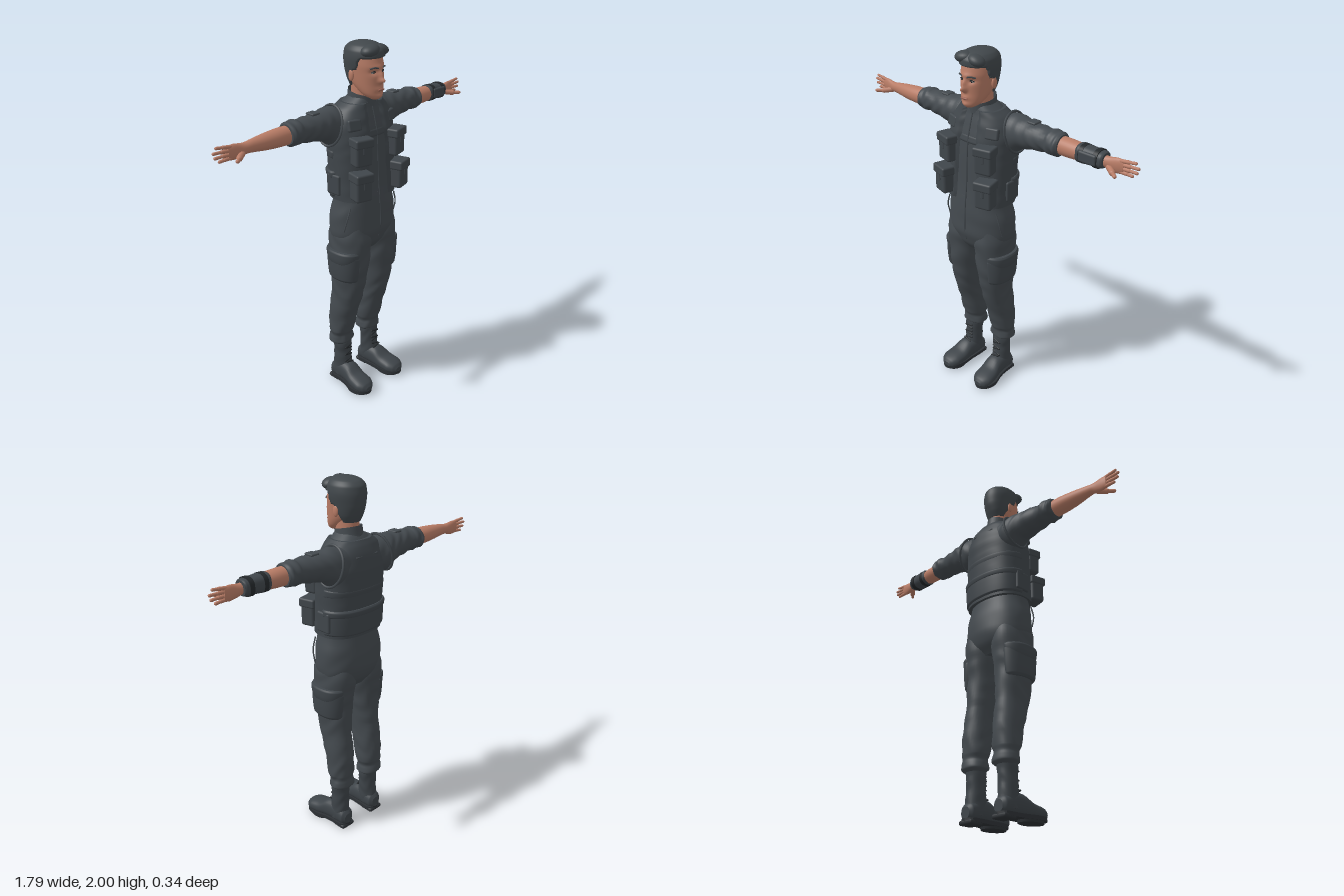
import * as THREE from 'three';
import { mergeVertices } from 'three/addons/utils/BufferGeometryUtils.js';
import { RoundedBoxGeometry } from 'three/addons/geometries/RoundedBoxGeometry.js';

const mat = (name, color) => Object.assign(new THREE.MeshStandardMaterial({ color }), { name });
const { smoothstep } = THREE.MathUtils;
const AXES = { y: [1, 0, 2], x: [0, 2, 1], z: [2, 1, 0] };

// Monotone cubic through key rows [t, a, b, ra, rb]
function resample(keys, steps) {
  const sec = (i, c) => (keys[i + 1][c] - keys[i][c]) / (keys[i + 1][0] - keys[i][0]);
  const slope = (i, c) => {
    if (i === 0) return sec(0, c);
    if (i === keys.length - 1) return sec(i - 1, c);
    const a = sec(i - 1, c), b = sec(i, c);
    return a * b <= 0 ? 0 : (2 * a * b) / (a + b);
  };
  const rows = [keys[0]];
  for (let i = 0; i < keys.length - 1; i++) for (let s = 1; s <= steps; s++) {
    const f = s / steps, h = keys[i + 1][0] - keys[i][0];
    rows.push(keys[i].map((k, c) => c === 0 ? k + h * f :
      (1 + 2 * f) * (1 - f) ** 2 * k + f * (1 - f) ** 2 * h * slope(i, c) +
      f * f * (3 - 2 * f) * keys[i + 1][c] + f * f * (f - 1) * h * slope(i + 1, c)));
  }
  return rows;
}

// Skin over rounded cross-sections; w adds cloth folds, warp moves each vertex
function loft(axis, keys, { n = 32, p = 2, steps = 5, w = 0, freq = 75, warp, cap = true } = {}) {
  const [T, U, V] = AXES[axis], pos = [], idx = [], rows = resample(keys, steps);
  const pw = (x) => Math.sign(x) * Math.abs(x) ** (2 / p);
  for (const [t, a, b, ra, rb] of rows) for (let j = 0; j < n; j++) {
    const th = (j / n) * Math.PI * 2, v = new THREE.Vector3(), c = new THREE.Vector3();
    const fold = w * Math.sin(t * freq + 2.2 * Math.sin(th * 2 + 1) + Math.sin(th * 3 + t * 20));
    c.setComponent(T, t).setComponent(U, a).setComponent(V, b);
    v.setComponent(T, t).setComponent(U, a + (ra + fold) * pw(Math.cos(th)))
      .setComponent(V, b + (rb + fold) * pw(Math.sin(th)));
    if (warp) warp(v, c);
    pos.push(v.x, v.y, v.z);
  }
  const R = rows.length;
  for (let i = 0; i < R - 1; i++) for (let j = 0; j < n; j++) {
    const a = i * n + j, b = i * n + (j + 1) % n;
    idx.push(a, a + n, b, b, a + n, b + n);
  }
  if (cap) for (const r of [0, R - 1]) {
    const base = pos.length / 3, m = new THREE.Vector3();
    for (let j = 0; j < n; j++) {
      const q = pos.slice((r * n + j) * 3, (r * n + j) * 3 + 3);
      pos.push(...q);
      m.add(new THREE.Vector3(...q).divideScalar(n));
    }
    pos.push(m.x, m.y, m.z);
    for (let j = 0; j < n; j++) {
      const a = base + j, b = base + (j + 1) % n;
      idx.push(...(r ? [a, base + n, b] : [a, b, base + n]));
    }
  }
  const g = new THREE.BufferGeometry();
  g.setAttribute('position', new THREE.Float32BufferAttribute(pos, 3));
  g.setIndex(idx);
  g.computeVertexNormals();
  return g;
}

const grow = (keys, d) => keys.map(([t, a, b, ra, rb]) => [t, a, b, ra + d, rb + d]);
const tuck = (amount, k = 0.85) => (v, c) => {
  const s = 1 - (1 - k) * amount(v, c);
  v.set(c.x + (v.x - c.x) * s, v.y, c.z + (v.z - c.z) * s);
};
const box = (w, h, d, x, y, z, ry = 0, rx = 0, r = 0.01) =>
  new RoundedBoxGeometry(w, h, d, 2, Math.min(r, w / 2.1, h / 2.1, d / 2.1)).rotateX(rx).rotateY(ry).translate(x, y, z);
const ball = (rx, ry, rz, x, y, z, rot = 0) =>
  new THREE.SphereGeometry(1, 24, 16).scale(rx, ry, rz).rotateZ(rot).translate(x, y, z);
const tube = (pts, r, closed = false) => new THREE.TubeGeometry(
  new THREE.CatmullRomCurve3(pts.map((q) => new THREE.Vector3(...q)), closed), 40, r, 6, closed);
function rod(a, b, r) {
  const A = new THREE.Vector3(...a), d = new THREE.Vector3(...b).sub(A), L = d.length();
  return new THREE.CapsuleGeometry(r, L, 4, 10).translate(0, L / 2, 0)
    .applyQuaternion(new THREE.Quaternion().setFromUnitVectors(new THREE.Vector3(0, 1, 0), d.divideScalar(L)))
    .translate(...a);
}
function flip(geo) {
  const g = (geo.index ? geo.clone() : mergeVertices(geo)).scale(-1, 1, 1), i = g.index.array;
  for (let k = 0; k < i.length; k += 3) [i[k], i[k + 1]] = [i[k + 1], i[k]];
  const nr = g.attributes.normal;
  if (nr.getX(0) * geo.attributes.normal.getX(0) > 0) for (let k = 0; k < nr.count; k++) nr.setX(k, -nr.getX(k));
  return g;
}

export function createModel() {
  const root = new THREE.Group();
  root.name = 'figure';
  const cloth = mat('cloth', 0x444a4f), gear = mat('gear', 0x40464b), hair = mat('hair', 0x41474b),
    skin = mat('skin', 0xb87c66), boot = mat('boot', 0x3e4449), sole = mat('sole', 0x2e3236),
    lip = mat('lip', 0x9a6253), eye = mat('eye', 0xa8a09a), dark = mat('dark', 0x24282b);
  const collarCloth = mat('collarCloth', 0x444a4f);
  collarCloth.side = THREE.DoubleSide;
  const add = (name, g, m) => root.add(Object.assign(new THREE.Mesh(g, m), { name }));
  const both = (name, g, m) => { add(name + 'Left', g, m); add(name + 'Right', flip(g), m); };

  // Head: skull with brow, sockets, nose, mouth and chin raised by soft bumps
  const bumps = [[0, 1.818, 0.03, 0.013, 0.013], [0, 1.845, 0.016, 0.011, 0.022], [0.033, 1.86, -0.011, 0.018, 0.012],
    [-0.033, 1.86, -0.011, 0.018, 0.012], [0, 1.885, 0.005, 0.045, 0.01], [0, 1.775, 0.006, 0.025, 0.012], [0, 1.74, 0.006, 0.02, 0.012]];
  const face = (v) => {
    if (v.z < 0.03) return;
    let dz = 0;
    for (const [x, y, h, sx, sy] of bumps) dz += h * Math.exp(-(((v.x - x) / sx) ** 2) - ((v.y - y) / sy) ** 2);
    v.z += dz;
  };
  add('head', loft('y', [[1.722, 0, 0.075, 0.022, 0.02], [1.735, 0, 0.063, 0.044, 0.043], [1.76, 0, 0.044, 0.061, 0.064],
    [1.8, 0, 0.02, 0.073, 0.088], [1.85, 0, 0.005, 0.08, 0.104], [1.89, 0, 0, 0.083, 0.106], [1.93, 0, -0.005, 0.081, 0.102],
    [1.965, 0, -0.005, 0.068, 0.083], [1.985, 0, -0.005, 0.04, 0.05]], { n: 96, steps: 7, warp: face }), skin);
  add('neck', loft('y', [[1.62, 0, -0.02, 0.062, 0.068], [1.7, 0, -0.012, 0.056, 0.064], [1.8, 0, -0.01, 0.056, 0.066]]), skin);
  both('ear', ball(0.009, 0.029, 0.017, 0.083, 1.838, -0.012), skin);
  both('eye', ball(0.013, 0.0055, 0.007, 0.033, 1.858, 0.0885), eye);
  both('iris', ball(0.0055, 0.0055, 0.004, 0.032, 1.858, 0.0935), dark);
  both('eyelid', tube([[0.019, 1.857, 0.096], [0.031, 1.865, 0.096], [0.047, 1.858, 0.088]], 0.0025), dark);
  both('brow', tube([[0.015, 1.879, 0.109], [0.033, 1.884, 0.104], [0.055, 1.878, 0.088]], 0.004), hair);
  add('lips', ball(0.024, 0.006, 0.006, 0, 1.772, 0.114), lip);

  // Hair: shell tucked under the skin below the hairline
  const hairline = (z) => z > 0.045 ? 1.925 : z > 0.0 ? 1.865 + (z > 0.025 ? (z - 0.025) * 3 : 0) : z > -0.035 ? 1.865 + z * 2.2 : 1.775;
  add('hair', loft('y', [[1.78, 0, -0.03, 0.056, 0.05], [1.82, 0, -0.015, 0.077, 0.083], [1.87, 0, -0.004, 0.088, 0.108],
    [1.92, 0, -0.002, 0.094, 0.113], [1.955, 0, 0, 0.09, 0.11], [1.98, 0, 0, 0.074, 0.09], [1.995, 0, 0, 0.045, 0.055],
    [2, 0, 0, 0.02, 0.025]], { n: 80, steps: 7, warp: tuck((v) => 1 - smoothstep(v.y, hairline(v.z) - 0.006, hairline(v.z) + 0.006), 0.78) }), hair);
  add('quiffRight', ball(0.052, 0.029, 0.043, -0.036, 1.964, 0.072, 0.15), hair);
  add('quiffLeft', ball(0.046, 0.027, 0.04, 0.042, 1.96, 0.068, -0.3), hair);

  // Overalls: torso, hips, legs, sleeves
  const torso = [[1.2, 0, -0.013, 0.177, 0.124], [1.3, 0, -0.02, 0.178, 0.122], [1.45, 0, -0.026, 0.18, 0.122], [1.55, 0, -0.032, 0.18, 0.12],
    [1.62, 0, -0.036, 0.168, 0.108], [1.67, 0, -0.034, 0.138, 0.092], [1.7, 0, -0.028, 0.1, 0.08], [1.73, 0, -0.02, 0.06, 0.064]];
  add('torso', loft('y', torso, { n: 48, p: 2.4 }), cloth);
  add('hips', loft('y', [[0.89, 0, -0.02, 0.12, 0.08], [0.95, 0, -0.02, 0.185, 0.122], [1.02, 0, -0.018, 0.202, 0.137],
    [1.1, 0, -0.017, 0.198, 0.135], [1.18, 0, -0.012, 0.182, 0.125], [1.23, 0, -0.012, 0.175, 0.12]], { n: 48, p: 2.2, w: 0.0012, freq: 40 }), cloth);
  both('leg', loft('y', [[0.268, 0.11, -0.08, 0.058, 0.05], [0.285, 0.11, -0.08, 0.075, 0.063], [0.31, 0.11, -0.08, 0.072, 0.06],
    [0.33, 0.11, -0.079, 0.067, 0.058], [0.36, 0.11, -0.075, 0.074, 0.068], [0.45, 0.11, -0.065, 0.074, 0.079], [0.6, 0.108, -0.033, 0.073, 0.097],
    [0.7, 0.106, -0.02, 0.082, 0.105], [0.8, 0.103, -0.012, 0.09, 0.113], [0.88, 0.1, -0.015, 0.098, 0.12],
    [0.97, 0.098, -0.015, 0.099, 0.126], [1.06, 0.09, -0.015, 0.09, 0.11]], { n: 40, p: 2.15, w: 0.0022, freq: 50 }), cloth);
  both('sleeve', loft('x', [[0.1, -0.07, 1.59, 0.075, 0.085], [0.18, -0.073, 1.588, 0.083, 0.1], [0.25, -0.07, 1.604, 0.076, 0.077],
    [0.33, -0.066, 1.608, 0.068, 0.067], [0.4, -0.066, 1.612, 0.062, 0.06], [0.42, -0.066, 1.612, 0.067, 0.063],
    [0.445, -0.066, 1.612, 0.063, 0.06], [0.46, -0.066, 1.612, 0.067, 0.061], [0.477, -0.066, 1.612, 0.055, 0.053]], { n: 36, w: 0.0025, freq: 80 }), cloth);
  both('sleeveTab', box(0.05, 0.012, 0.055, 0.295, 1.678, -0.068), cloth);
  add('zip', tube([[0, 0.97, 0.108], [0, 1.05, 0.12], [0, 1.1, 0.119], [0, 1.2, 0.113], [0, 1.3, 0.103], [0, 1.45, 0.097],
    [0, 1.55, 0.089], [0, 1.62, 0.073], [0, 1.68, 0.056]], 0.004), gear);
  both('hipPocketSeam', tube([[0.168, 1.17, 0.06], [0.19, 1.1, 0.055], [0.195, 1.03, 0.035]], 0.004), cloth);
  add('collar', loft('y', [[1.665, 0, -0.022, 0.08, 0.085], [1.7, 0, -0.02, 0.071, 0.077], [1.745, 0, -0.018, 0.067, 0.074]],
    { cap: false, warp: (v) => { v.y -= v.z * 0.22 + (v.z > 0.03 ? 0.5 * Math.max(0, 0.04 - Math.abs(v.x)) : 0); } }), collarCloth);

  // Vest: shell open down the front, arm rims, back bands
  const opening = (v) => v.z > 0 ? 1 - smoothstep(Math.abs(v.x), 0.05 + (1.65 - v.y) * 0.07, 0.06 + (1.65 - v.y) * 0.07) : 0;
  add('vest', loft('y', grow(torso.slice(0, 7), 0.014), { n: 96, p: 2.4, w: 0.001, warp: tuck(opening) }), gear);
  const ring = Array.from({ length: 12 }, (_, i) => {
    const a = (i / 12) * Math.PI * 2;
    return [0.178 - 0.025 * Math.sin(a), 1.59 + 0.102 * Math.sin(a), -0.073 + 0.088 * Math.cos(a)];
  });
  both('armhole', tube(ring, 0.007, true), gear);
  const behind = (v) => smoothstep(v.z, -0.03, -0.01);
  for (const [y0, y1, d] of [[1.215, 1.345, 0.021], [1.315, 1.355, 0.027], [1.42, 1.465, 0.02], [1.53, 1.57, 0.019]])
    add('backBand', loft('y', [[y0, 0, -0.018, 0.178 + d - 0.006, 0.122 + d - 0.006], [y0 + 0.01, 0, -0.019, 0.178 + d, 0.122 + d],
      [y1 - 0.01, 0, -0.023, 0.178 + d, 0.121 + d], [y1, 0, -0.023, 0.178 + d - 0.006, 0.12 + d - 0.006]],
    { n: 64, p: 2.4, steps: 3, warp: tuck(behind, 0.8) }), gear);
  for (const y of [1.6, 1.625]) add('backLoop', box(0.15, 0.009, 0.014, 0, y, -0.149), gear);

  // Front pouches with flaps and side pouches
  for (const [x, y, z, w, h, d] of [[0.128, 1.475, 0.1, 0.098, 0.14, 0.07], [0.143, 1.295, 0.112, 0.095, 0.145, 0.08]]) {
    both('pouch', box(w, h, d, x, y, z, 0.25, 0, 0.014), gear);
    both('pouchFlap', box(w + 0.01, h * 0.34, d + 0.014, x, y + h * 0.38, z + 0.002, 0.25, 0, 0.01), gear);
    both('pouchStrap', box(0.018, h * 0.3, 0.008, x + 0.01, y + h * 0.12, z + d / 2 - 0.001, 0.25), gear);
  }
  both('chestPocket', box(0.075, 0.06, 0.03, 0.132, 1.605, 0.055, 0.3, -0.25), gear);
  both('sidePouch', box(0.028, 0.11, 0.09, 0.188, 1.285, -0.035), gear);

  // Thigh pockets wrapped on the outside of the legs
  const inside = (v, c) => 1 - smoothstep(v.x - c.x, 0.025, 0.04);
  for (const [name, y0, y1, d] of [['cargoPocket', 0.725, 0.88, 0.017], ['cargoFlap', 0.825, 0.905, 0.024]])
    both(name, loft('y', [[y0, 0.105, -0.016, 0.085 + d - 0.008, 0.1], [y0 + 0.015, 0.105, -0.015, 0.086 + d, 0.107],
      [y1 - 0.012, 0.1, -0.015, 0.096 + d, 0.118], [y1, 0.1, -0.015, 0.09 + d, 0.112]],
    { n: 64, p: 2.5, warp: tuck(inside, 0.75) }), gear);

  // Forearms, hands and armband
  both('forearm', loft('x', [[0.45, -0.065, 1.61, 0.046, 0.047], [0.52, -0.065, 1.61, 0.046, 0.046], [0.6, -0.064, 1.61, 0.04, 0.041],
    [0.68, -0.064, 1.61, 0.028, 0.032], [0.72, -0.065, 1.608, 0.023, 0.028], [0.75, -0.066, 1.605, 0.019, 0.033],
    [0.785, -0.068, 1.605, 0.016, 0.038], [0.815, -0.07, 1.606, 0.011, 0.034]]), skin);
  for (const [y, tip, end] of [[1.632, 0.872, 1.642], [1.615, 0.888, 1.62], [1.597, 0.882, 1.597], [1.58, 0.86, 1.576]]) {
    both('finger', rod([0.795, y, -0.068], [(tip + 0.805) / 2, (y + end) / 2 + 0.001, -0.069], 0.0095), skin);
    both('fingertip', rod([(tip + 0.805) / 2, (y + end) / 2 + 0.001, -0.069], [tip, end, -0.071], 0.0078), skin);
  }
  both('thumbBase', rod([0.745, 1.59, -0.055], [0.782, 1.583, -0.028], 0.015), skin);
  both('thumb', rod([0.782, 1.583, -0.028], [0.812, 1.583, -0.002], 0.0095), skin);
  add('armband', loft('x', [[0.575, -0.065, 1.611, 0.042, 0.043], [0.585, -0.065, 1.611, 0.047, 0.046], [0.65, -0.065, 1.611, 0.044, 0.043],
    [0.71, -0.065, 1.611, 0.042, 0.04], [0.72, -0.065, 1.611, 0.036, 0.036]], { p: 2.5 }), gear);
  for (const x of [0.605, 0.685]) add('armbandStrap', loft('x', [[x - 0.012, -0.065, 1.611, 0.047, 0.046], [x + 0.012, -0.065, 1.611, 0.047, 0.046]], { p: 2.5 }), dark);
  add('armbandPlate', box(0.1, 0.055, 0.02, 0.645, 1.612, -0.024), gear);

  // Boots: shaft, foot, sole, heel and laces
  both('bootShaft', loft('y', [[0.05, 0.115, -0.07, 0.05, 0.062], [0.12, 0.114, -0.068, 0.05, 0.056], [0.2, 0.112, -0.07, 0.05, 0.05],
    [0.265, 0.111, -0.072, 0.054, 0.052], [0.285, 0.111, -0.074, 0.052, 0.05]], { w: 0.0015 }), boot);
  both('bootFoot', loft('z', [[-0.138, 0.06, 0.115, 0.03, 0.028], [-0.12, 0.065, 0.115, 0.045, 0.046], [-0.05, 0.08, 0.115, 0.062, 0.052],
    [0, 0.076, 0.118, 0.06, 0.054], [0.06, 0.058, 0.125, 0.042, 0.06], [0.11, 0.052, 0.129, 0.036, 0.061],
    [0.145, 0.046, 0.13, 0.029, 0.046], [0.162, 0.042, 0.13, 0.014, 0.024]], { p: 2.3 }), boot);
  const outline = new THREE.Shape();
  outline.moveTo(0.115, 0.143);
  outline.splineThru([[0.16, 0.12], [0.165, 0.05], [0.172, 0], [0.191, -0.07], [0.18, -0.135], [0.132, -0.165], [0.084, -0.135],
    [0.068, -0.07], [0.068, 0], [0.066, 0.05], [0.07, 0.12], [0.115, 0.143]].map((q) => new THREE.Vector2(...q)));
  both('sole', new THREE.ExtrudeGeometry(outline, { depth: 0.02, bevelEnabled: false, curveSegments: 4 }).rotateX(-Math.PI / 2).translate(0, 0.013, 0), sole);
  both('heel', box(0.094, 0.026, 0.085, 0.115, 0.013, -0.1, 0, 0, 0.012), sole);
  both('treads', new THREE.CylinderGeometry(1, 0.95, 0.02, 28).scale(0.059, 1, 0.078).translate(0.129, 0.01, 0.073), sole);
  for (let i = 0; i < 7; i++) {
    const y = 0.115 + i * 0.023, z = -0.014 + 0.026 * Math.max(0, 1 - i / 2);
    both('lace', rod([0.09, y, z - 0.008], [0.137, y + (i % 2 ? 0.012 : -0.012), z - 0.008], 0.005), dark);
  }
  return root;
}
